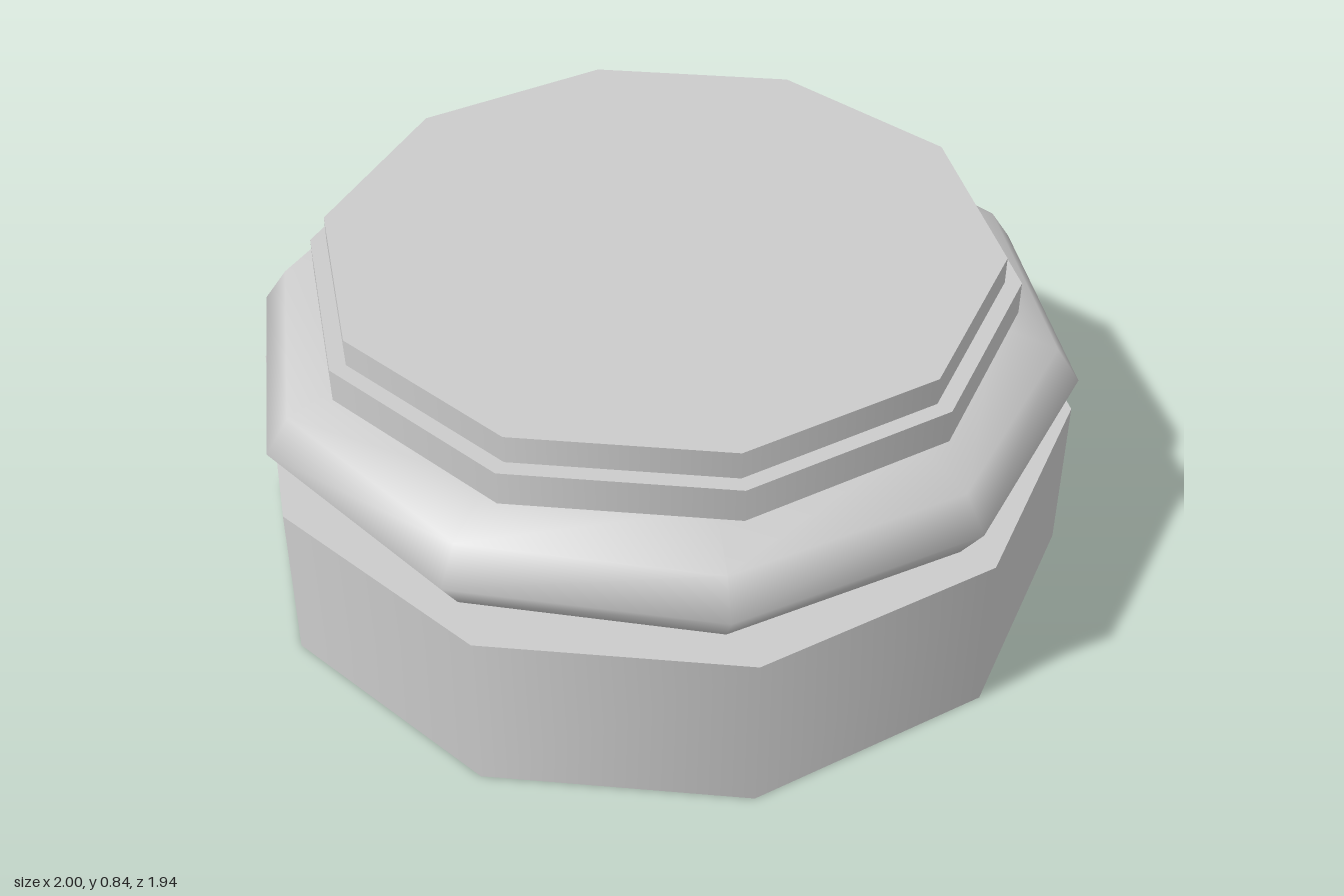
import * as THREE from 'three';

const SIDES = 10;

export function createModel() {
  const model = new THREE.Group();
  const material = new THREE.MeshStandardMaterial({ color: 0xcccccc });

  const add = (name, geometry, x, y, z) => {
    const mesh = new THREE.Mesh(geometry, material);
    mesh.name = name;
    mesh.position.set(x, y, z);
    model.add(mesh);
    return mesh;
  };

  // ten-sided drum with a corner on the x axis
  const drum = (name, radius, bottom, top, x = 0, z = 0) =>
    add(name, new THREE.CylinderGeometry(radius, radius, top - bottom, SIDES, 1, false, Math.PI / 2),
      x, (bottom + top) / 2, z);

  drum('plinth', 1, 0, 0.413);

  // rounded moulding: a flattened torus, turned slightly against the plinth
  const torus = new THREE.TorusGeometry(0.7, 0.3, SIDES, SIDES);
  torus.rotateX(Math.PI / 2);
  torus.scale(1, 0.482, 1);
  add('roundMoulding', torus, 0, 0.55, 0).rotation.y = -0.064;

  // stepped rings on top, a hair off centre
  drum('lowerRing', 0.848, 0.687, 0.77, -0.003, -0.007);
  drum('upperRing', 0.808, 0.77, 0.838, -0.003, -0.007);

  return model;
}
